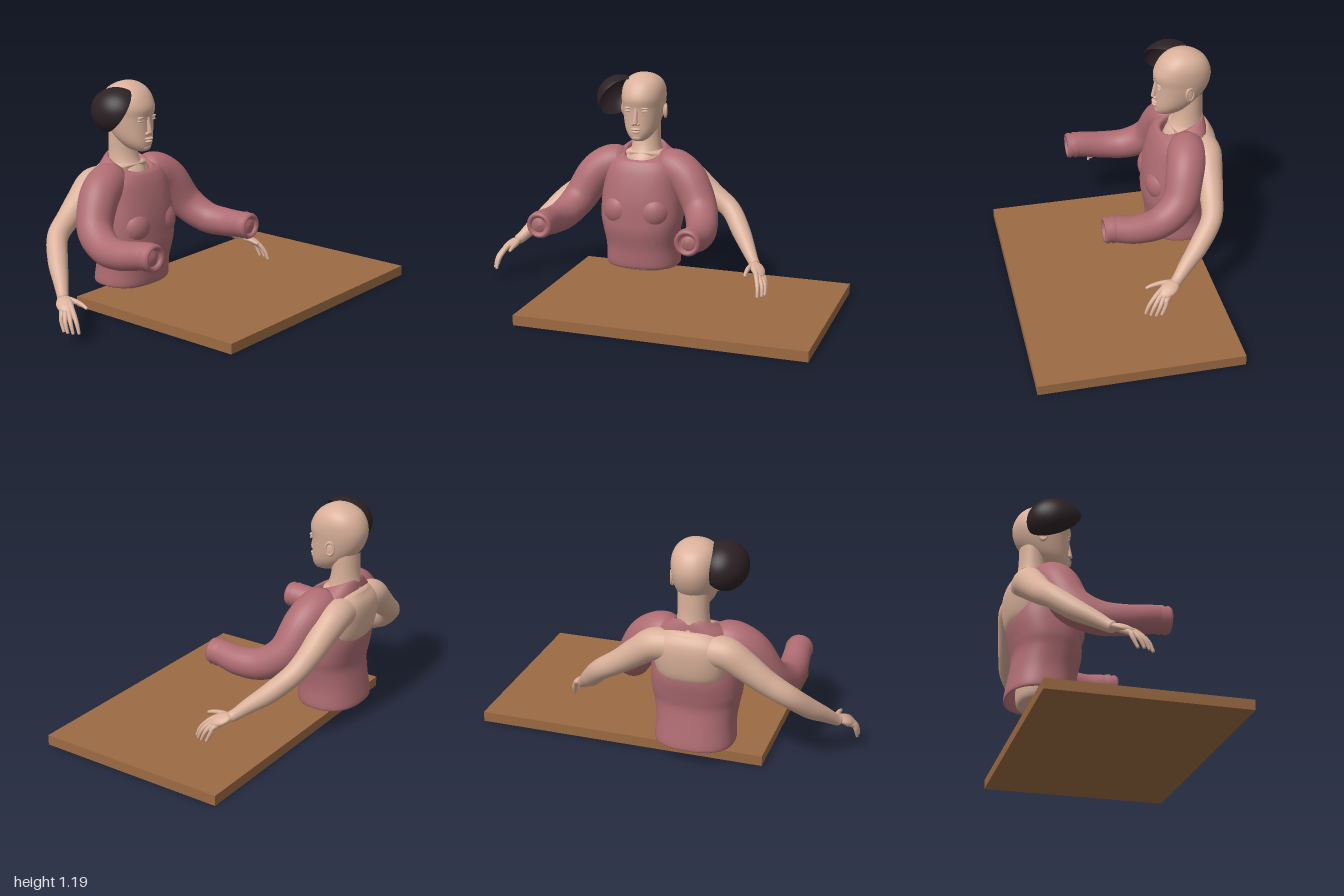
import * as THREE from 'three';

const mat = (name, color, side = THREE.FrontSide) => {
  const m = new THREE.MeshStandardMaterial({ color, side });
  m.name = name;
  return m;
};

// Catmull-Rom interpolation of rows of numbers
function spline(rows, steps) {
  const out = [], n = rows.length - 1;
  for (let i = 0; i < n; i++) {
    for (let s = 0; s < steps; s++) {
      const t = s / steps;
      out.push(rows[i].map((b, k) => {
        const a = rows[Math.max(i - 1, 0)][k], c = rows[i + 1][k], d = rows[Math.min(i + 2, n)][k];
        return b + 0.5 * t * (c - a + t * (2 * a - 5 * b + 4 * c - d + t * (3 * (b - c) + d - a)));
      }));
    }
  }
  out.push(rows[n]);
  return out;
}

// Skin of quads over closed rings of points
function skinRings(rings) {
  const n = rings[0].length, idx = [];
  for (let i = 0; i < rings.length - 1; i++) {
    for (let j = 0; j < n; j++) {
      const a = i * n + j, b = i * n + (j + 1) % n;
      idx.push(a, b, a + n, b, b + n, a + n);
    }
  }
  const g = new THREE.BufferGeometry().setFromPoints(rings.flat());
  g.setIndex(idx);
  g.computeVertexNormals();
  return g;
}

// Upright body from rows [y, half width, front z, back z, tilt]
function loft(rows, power = 2, n = 48) {
  return skinRings(spline(rows, 5).map(([y, w, zf, zb, tilt]) => {
    const ring = [];
    for (let j = 0; j < n; j++) {
      const a = j / n * Math.PI * 2, c = Math.cos(a), s = -Math.sin(a);
      const e = v => Math.sign(v) * Math.pow(Math.abs(v), 2 / power);
      ring.push(new THREE.Vector3(w * e(c), y - tilt * e(s), (zf + zb) / 2 + (zf - zb) / 2 * e(s)));
    }
    return ring;
  }));
}

// Limb along rows [x, y, z, radius], mirrored by side
function limb(rows, side = 1, n = 20) {
  const first = rows[0], last = rows[rows.length - 1];
  const d = spline(rows.map(([x, y, z, r]) => [x * side, y, z, r]), 6);
  const P = d.map(p => new THREE.Vector3(p[0], p[1], p[2]));
  const ref = new THREE.Vector3(side, 1, 0);
  const T = P.map((p, i) => P[Math.min(i + 1, P.length - 1)].clone().sub(P[Math.max(i - 1, 0)]).normalize());
  const ring = (c, t, r) => {
    const N = ref.clone().cross(t).normalize(), B = t.clone().cross(N);
    return Array.from({ length: n }, (_, j) => {
      const a = j / n * Math.PI * 2;
      return c.clone().addScaledVector(N, r * Math.cos(a)).addScaledVector(B, r * Math.sin(a));
    });
  };
  const rings = P.map((p, i) => ring(p, T[i], d[i][3]));
  // rounded ends
  const e = P.length - 1;
  for (const f of [0.5, 0.85, 1]) {
    const k = Math.max(Math.sqrt(1 - f * f), 0.001);
    rings.unshift(ring(P[0].clone().addScaledVector(T[0], -f * first[3] * 0.6), T[0], first[3] * k));
    rings.push(ring(P[e].clone().addScaledVector(T[e], f * last[3] * 0.6), T[e], last[3] * k));
  }
  return skinRings(rings);
}

export function createModel() {
  const skin = mat('skin', 0xd9b09a);
  const cloth = mat('rose cloth', 0xae6c72, THREE.DoubleSide);
  const hairMat = mat('dark hair', 0x2c2124, THREE.DoubleSide);
  const wood = mat('wood', 0x9c6a42);
  const eyeMat = mat('eye', 0xd8cbc4);

  const model = new THREE.Group();
  const figure = new THREE.Group();
  figure.name = 'figure';
  figure.position.x = -0.19;
  model.add(figure);
  const add = (name, geo, m, parent = figure) => {
    const mesh = new THREE.Mesh(geo, m);
    mesh.name = name;
    parent.add(mesh);
    return mesh;
  };
  const blob = (name, m, x, y, z, rx, ry, rz) => {
    const b = add(name, new THREE.SphereGeometry(1, 24, 16), m);
    b.position.set(x, y, z);
    b.scale.set(rx, ry, rz);
    return b;
  };

  // Table top
  add('tableTop', new THREE.BoxGeometry(1.56, 0.055, 1.065), wood, model).position.set(0.22, 0.0275, 0.0675);

  // Sweater body with a slanted neckline
  add('sweaterBody', loft([
    [0.12, 0.19, -0.26, -0.56, 0], [0.085, 0.2, -0.25, -0.572, 0], [0.1, 0.212, -0.235, -0.582, 0],
    [0.2, 0.208, -0.225, -0.565, 0], [0.3, 0.222, -0.205, -0.55, 0], [0.37, 0.236, -0.205, -0.56, 0],
    [0.46, 0.235, -0.21, -0.575, 0], [0.55, 0.226, -0.225, -0.57, 0], [0.64, 0.22, -0.25, -0.56, 0],
    [0.705, 0.19, -0.275, -0.55, 0.015], [0.738, 0.14, -0.29, -0.54, 0.035],
    [0.75, 0.112, -0.298, -0.53, 0.045], [0.738, 0.1, -0.31, -0.52, 0.045], [0.7, 0.1, -0.32, -0.51, 0.045],
  ], 2.4), cloth);

  // Torso under the sweater, bare at the upper back
  add('torso', loft([
    [0.055, 0.001, -0.4, -0.402, 0], [0.057, 0.1, -0.33, -0.48, 0], [0.085, 0.15, -0.28, -0.52, 0],
    [0.3, 0.17, -0.26, -0.52, 0], [0.43, 0.17, -0.28, -0.55, 0], [0.5, 0.19, -0.3, -0.588, 0],
    [0.6, 0.205, -0.33, -0.603, 0], [0.67, 0.2, -0.35, -0.598, 0], [0.715, 0.15, -0.36, -0.575, 0],
    [0.74, 0.1, -0.36, -0.55, 0], [0.755, 0.001, -0.45, -0.452, 0],
  ], 2.5), skin);
  add('neck', loft([
    [0.64, 0.12, -0.31, -0.56, 0], [0.7, 0.1, -0.33, -0.56, 0], [0.75, 0.086, -0.365, -0.545, 0],
    [0.82, 0.08, -0.385, -0.533, 0], [0.93, 0.08, -0.39, -0.53, 0],
  ]), skin);

  // Head
  add('head', loft([
    [0.814, 0.001, -0.32, -0.322, 0], [0.817, 0.034, -0.288, -0.37, 0], [0.835, 0.058, -0.273, -0.42, 0],
    [0.865, 0.08, -0.268, -0.46, 0], [0.9, 0.095, -0.268, -0.5, 0], [0.95, 0.107, -0.268, -0.54, 0],
    [1, 0.115, -0.266, -0.563, 0], [1.05, 0.12, -0.258, -0.57, 0], [1.1, 0.117, -0.276, -0.557, 0],
    [1.14, 0.1, -0.305, -0.53, 0], [1.168, 0.07, -0.345, -0.487, 0], [1.182, 0.035, -0.38, -0.445, 0],
    [1.187, 0.001, -0.411, -0.413, 0],
  ], 2.15), skin);

  // Face
  add('noseBridge', limb([[0, 1.0, -0.272, 0.01], [0, 0.95, -0.263, 0.012], [0, 0.92, -0.259, 0.014]]), skin);
  blob('upperLip', skin, 0, 0.888, -0.268, 0.03, 0.008, 0.018);
  blob('lowerLip', skin, 0, 0.872, -0.268, 0.025, 0.008, 0.016);
  blob('chin', skin, 0, 0.838, -0.285, 0.03, 0.018, 0.016);
  for (const s of [-1, 1]) {
    blob('nostril', skin, s * 0.014, 0.916, -0.266, 0.011, 0.009, 0.012);
    blob('eye', eyeMat, s * 0.045, 0.995, -0.281, 0.02, 0.008, 0.008);
    blob('upperEyelid', skin, s * 0.045, 1.004, -0.28, 0.026, 0.007, 0.012);
    blob('lowerEyelid', skin, s * 0.045, 0.986, -0.28, 0.024, 0.006, 0.01);
    // Ears
    blob('ear', skin, s * 0.117, 0.967, -0.427, 0.011, 0.04, 0.024).rotation.set(0.2, s * 0.3, 0);
    const rim = add('earRim', new THREE.TorusGeometry(0.022, 0.006, 8, 24), skin);
    rim.position.set(s * 0.124, 0.972, -0.43);
    rim.rotation.y = Math.PI / 2 + s * 0.3;
    rim.scale.y = 1.5;
  }

  // Hair shell beside the head, open towards the face
  const hair = new THREE.Group();
  hair.name = 'hair';
  hair.position.set(-0.13, 1.043, -0.372);
  hair.scale.set(0.126, 0.126, 0.148);
  figure.add(hair);
  const shell = add('hairShell', new THREE.SphereGeometry(1, 36, 16, 0, Math.PI * 2, 0, Math.PI / 2), hairMat, hair);
  shell.quaternion.setFromUnitVectors(new THREE.Vector3(0, 1, 0), new THREE.Vector3(-0.7, 0.5, -0.5).normalize());

  for (const s of [-1, 1]) {
    const name = s > 0 ? 'left' : 'right';
    const up = s > 0 ? 0 : 0.032, out = s > 0 ? 0 : 0.045;
    blob(name + 'Chest', cloth, s * 0.1, 0.42, -0.29, 0.095, 0.1, 0.088);

    // Sleeve
    add(name + 'Sleeve', limb([
      [0.14, 0.66, -0.41, 0.1], [0.2, 0.648, -0.4, 0.108], [0.28, 0.59, -0.375, 0.106],
      [0.36, 0.455, -0.325, 0.096], [0.405, 0.375 + up / 3, -0.21, 0.086], [0.425, 0.363 + up / 2, -0.08, 0.078],
      [0.418, 0.372 + up, 0.02 + out, 0.072], [0.415, 0.375 + up, 0.055 + out, 0.07],
    ], s, 28), cloth);
    // Rolled cuff with a recess
    const cuff = [[0.066, -0.03], [0.075, 0.005], [0.067, 0.018], [0.073, 0.035], [0.066, 0.05], [0.054, 0.05],
      [0.046, 0.04], [0.044, 0.033], [0.036, 0.034], [0.03, 0.026], [0.001, 0.026]];
    const c = add(name + 'Cuff', new THREE.LatheGeometry(cuff.map(p => new THREE.Vector2(...p)), 32), cloth);
    c.rotation.x = Math.PI / 2;
    c.position.set(s * 0.415, 0.375 + up, 0.055 + out);

    // Bare arm
    add(name + 'Arm', limb([
      [0.1, 0.64, -0.51, 0.08], [0.19, 0.635, -0.512, 0.083], [0.28, 0.575, -0.502, 0.075],
      [0.39, 0.495, -0.49, 0.063], [0.5, 0.42, -0.462, 0.056], [0.585, 0.325, -0.375, 0.052],
      [0.65, 0.255, -0.29, 0.04], [0.69, 0.21, -0.238, 0.031], [0.705, 0.197, -0.22, 0.03],
    ], s, 24), skin);

    // Hand
    const palm = blob(name + 'Palm', skin, s * 0.735, 0.18, -0.175, 0.043, 0.021, 0.062);
    palm.rotation.set(0.42, s * 0.4, s * -0.5);
    const tips = [[0.768, -0.045], [0.787, -0.068], [0.797, -0.095], [0.795, -0.125]];
    tips.forEach(([x, z], i) => {
      const k = i / 3;
      add(name + 'Finger', limb([
        [0.715 + 0.035 * k, 0.192 - 0.028 * k, -0.165 - 0.02 * k, 0.014],
        [0.742 + 0.035 * k, 0.165 - 0.022 * k, -0.115 - 0.04 * k, 0.0135],
        [x - 0.006, 0.115, z - 0.022, 0.011], [x, 0.066, z, 0.008],
      ], s, 12), skin);
    });
    add(name + 'Thumb', limb([
      [0.7, 0.195, -0.2, 0.016], [0.69, 0.19, -0.15, 0.014], [0.69, 0.183, -0.1, 0.011], [0.692, 0.172, -0.065, 0.008],
    ], s, 12), skin);
  }
  return model;
}
